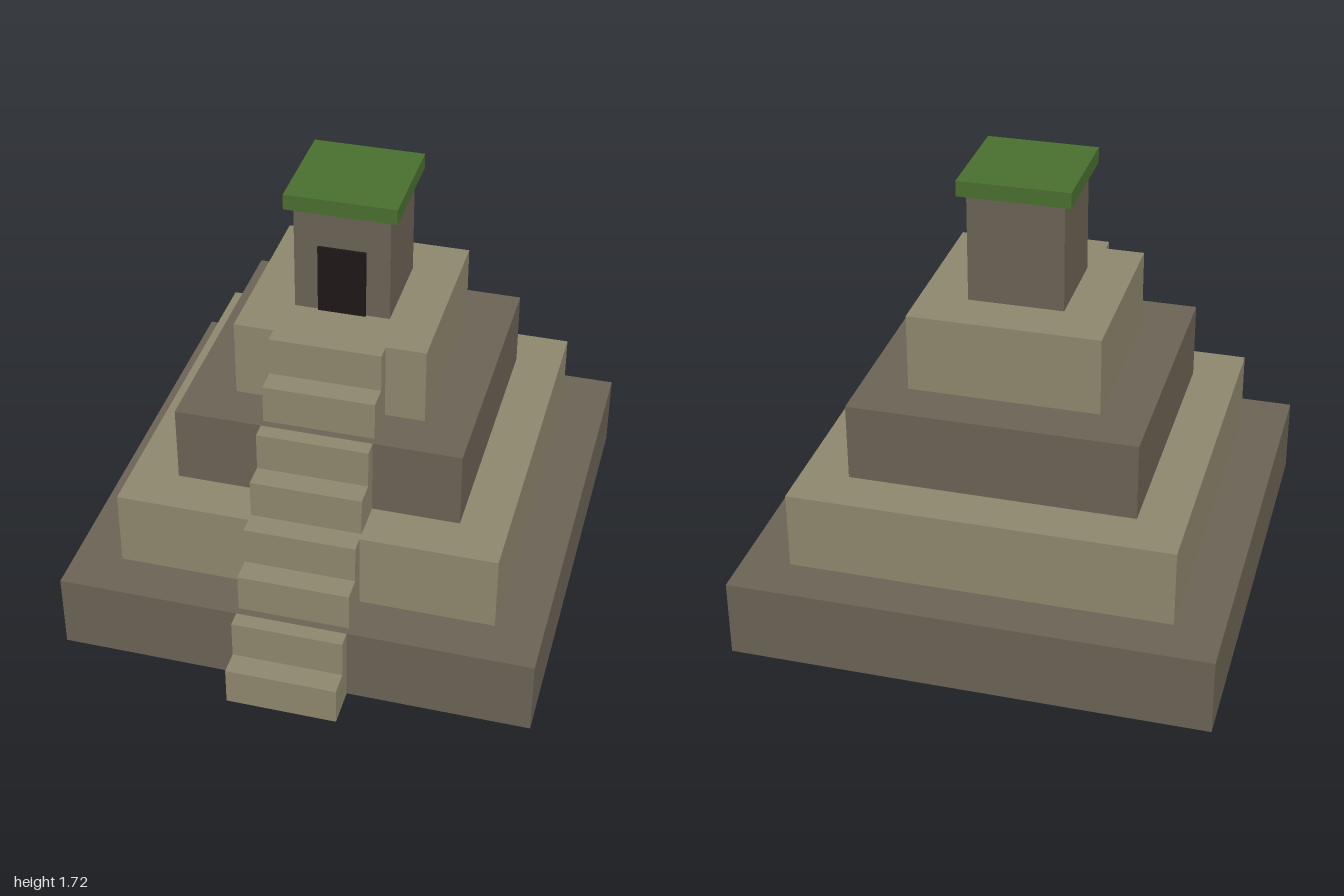
import * as THREE from 'three';

const material = (color) => new THREE.MeshStandardMaterial({ color, flatShading: true });

export function createModel() {
  const group = new THREE.Group();
  const darkStone = material(0x6c6455);
  const lightStone = material(0x90886f);
  const grass = material(0x4a7030);
  const shadow = material(0x1e1717);

  // Box resting on height y, centred on x = 0
  const addBox = (name, mat, w, h, d, y, z) => {
    const mesh = new THREE.Mesh(new THREE.BoxGeometry(w, h, d), mat);
    mesh.position.set(0, y + h / 2, z);
    mesh.name = name;
    group.add(mesh);
  };

  const tiers = 4;
  const tierHeight = 0.3077;
  const centreZ = -0.077;
  const stairWidth = 0.43;

  // Two-step stair flight, drawn as a side profile (forward, up)
  const profile = new THREE.Shape([
    [0, 0], [0.154, 0], [0.154, tierHeight / 2],
    [0.0615, tierHeight / 2], [0.0615, tierHeight], [0, tierHeight],
  ].map(([z, y]) => new THREE.Vector2(z, y)));
  const flightGeometry = new THREE.ExtrudeGeometry(profile, { depth: stairWidth, bevelEnabled: false });
  flightGeometry.translate(0, 0, -stairWidth / 2);
  flightGeometry.rotateY(-Math.PI / 2);

  // Stepped tiers, each with its flight of stairs in front
  for (let i = 0; i < tiers; i++) {
    const size = 1.846 - i * 0.3692;
    const y = i * tierHeight;
    addBox(`tier${i + 1}`, i % 2 ? lightStone : darkStone, size, tierHeight, size, y, centreZ);

    const flight = new THREE.Mesh(flightGeometry, lightStone);
    flight.position.set(0, y, centreZ + size / 2);
    flight.name = `stairFlight${i + 1}`;
    group.add(flight);
  }

  // Temple on the summit
  const summit = tiers * tierHeight;
  addBox('temple', darkStone, 0.369, 0.431, 0.369, summit, centreZ);
  addBox('doorway', shadow, 0.185, 0.277, 0.02, summit, 0.107);
  addBox('roof', grass, 0.43, 0.0615, 0.43, summit + 0.431, centreZ);

  return group;
}
